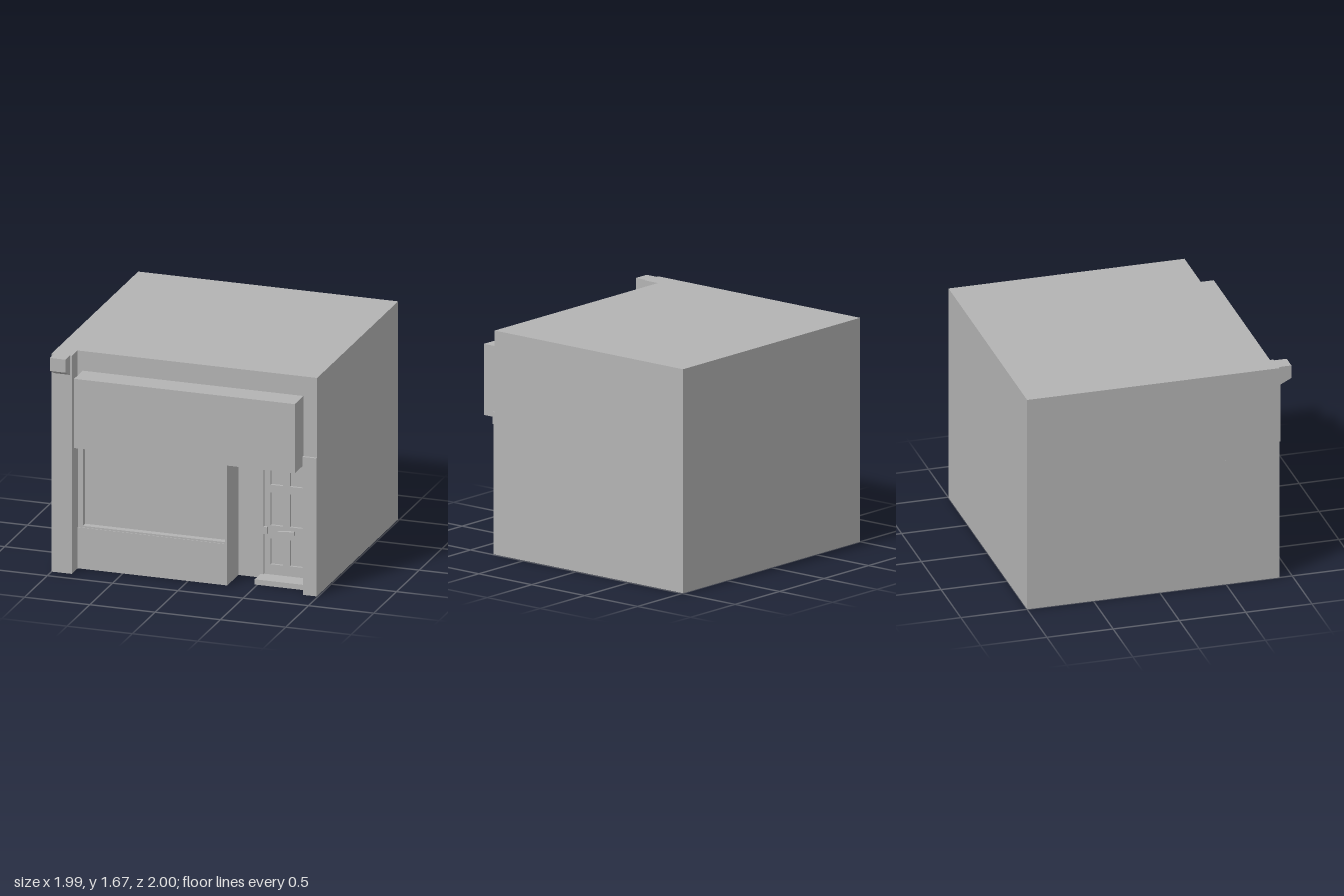
import * as THREE from 'three';

export function createModel() {
  const model = new THREE.Group();
  model.name = 'shopFront';
  const grey = new THREE.MeshStandardMaterial({ color: 0xb3b3b3 });
  grey.name = 'plain grey';

  const add = (name, geometry, parent = model) => {
    const mesh = new THREE.Mesh(geometry, grey);
    mesh.name = name;
    parent.add(mesh);
    return mesh;
  };
  // Box given by its lower and upper limits on each axis
  const box = (name, x0, x1, y0, y1, z0, z1, parent) => {
    const g = new THREE.BoxGeometry(x1 - x0, y1 - y0, z1 - z0);
    g.translate((x0 + x1) / 2, (y0 + y1) / 2, (z0 + z1) / 2);
    return add(name, g, parent);
  };
  const outline = pts => new THREE.Shape(pts.map(p => new THREE.Vector2(...p)));
  const rect = (x0, x1, y0, y1) => outline([[x0, y0], [x1, y0], [x1, y1], [x0, y1]]);
  // Upright plate between z0 and z1, with rectangular openings
  const plate = (name, shape, holes, z0, z1, parent) => {
    shape.holes = holes.map(h => rect(...h));
    const g = new THREE.ExtrudeGeometry(shape, { depth: z1 - z0, bevelEnabled: false });
    g.translate(0, 0, z0);
    return add(name, g, parent);
  };

  // Ground floor from its plan (x, -z), with the door lobby cut in
  const plan = outline([
    [-1, 1], [-1, -0.72], [0.3, -0.72], [0.3, -0.53],
    [0.885, -0.53], [0.885, -0.78], [0.99, -0.78], [0.99, 1],
  ]);
  const ground = new THREE.ExtrudeGeometry(plan, { depth: 0.99, bevelEnabled: false });
  ground.rotateX(-Math.PI / 2);
  add('groundFloor', ground);
  box('upperFloor', -1, 0.99, 0.99, 1.67, -1, 0.78);

  // Left pillar with its sloping bracket
  box('leftPillar', -1, -0.845, 0, 1.67, 0.72, 0.905);
  const bracket = new THREE.ExtrudeGeometry(
    outline([[-0.9, 1.52], [-0.9, 1.67], [-1, 1.67], [-1, 1.57]]),
    { depth: 0.12, bevelEnabled: false });
  bracket.rotateY(Math.PI / 2);
  bracket.translate(-0.98, 0, 0);
  add('pillarBracket', bracket);

  // Right pillar and cap
  box('rightPillar', 0.885, 0.99, 0, 0.97, 0.77, 0.79);
  box('rightPillarCap', 0.875, 0.99, 0.97, 1.06, 0.77, 0.8);

  // Sign box
  box('signBox', -0.805, 0.885, 0.99, 1.52, 0.77, 0.97);

  // Shop window
  const shopWindow = new THREE.Group();
  shopWindow.name = 'shopWindow';
  model.add(shopWindow);
  box('stallRiser', -0.845, 0.285, 0, 0.315, 0.72, 0.775, shopWindow);
  box('cornerPost', 0.285, 0.3, 0, 0.99, 0.72, 0.78, shopWindow);
  plate('windowFrame', rect(-0.845, 0.285, 0.315, 0.99),
    [[-0.808, 0.282, 0.328, 0.972]], 0.72, 0.77, shopWindow);

  // Entrance
  const entrance = new THREE.Group();
  entrance.name = 'entrance';
  model.add(entrance);
  box('doorStep', 0.48, 0.885, 0, 0.04, 0.53, 0.69, entrance);
  plate('doorFrame', rect(0.48, 0.87, 0.04, 0.92),
    [[0.505, 0.845, 0.04, 0.89]], 0.53, 0.565, entrance);
  const panels = [];
  for (const x of [0.553, 0.702])
    for (const [y0, y1] of [[0.118, 0.316], [0.417, 0.668], [0.727, 0.84]])
      panels.push([x, x + 0.096, y0, y1]);
  plate('door', rect(0.505, 0.845, 0.04, 0.89), panels, 0.53, 0.55, entrance);
  box('doorLock', 0.505, 0.533, 0.353, 0.406, 0.55, 0.575, entrance);
  plate('letterPlate', outline([
    [0.615, 0.358], [0.74, 0.362], [0.74, 0.39], [0.67, 0.386], [0.615, 0.38],
  ]), [], 0.55, 0.575, entrance);

  return model;
}
